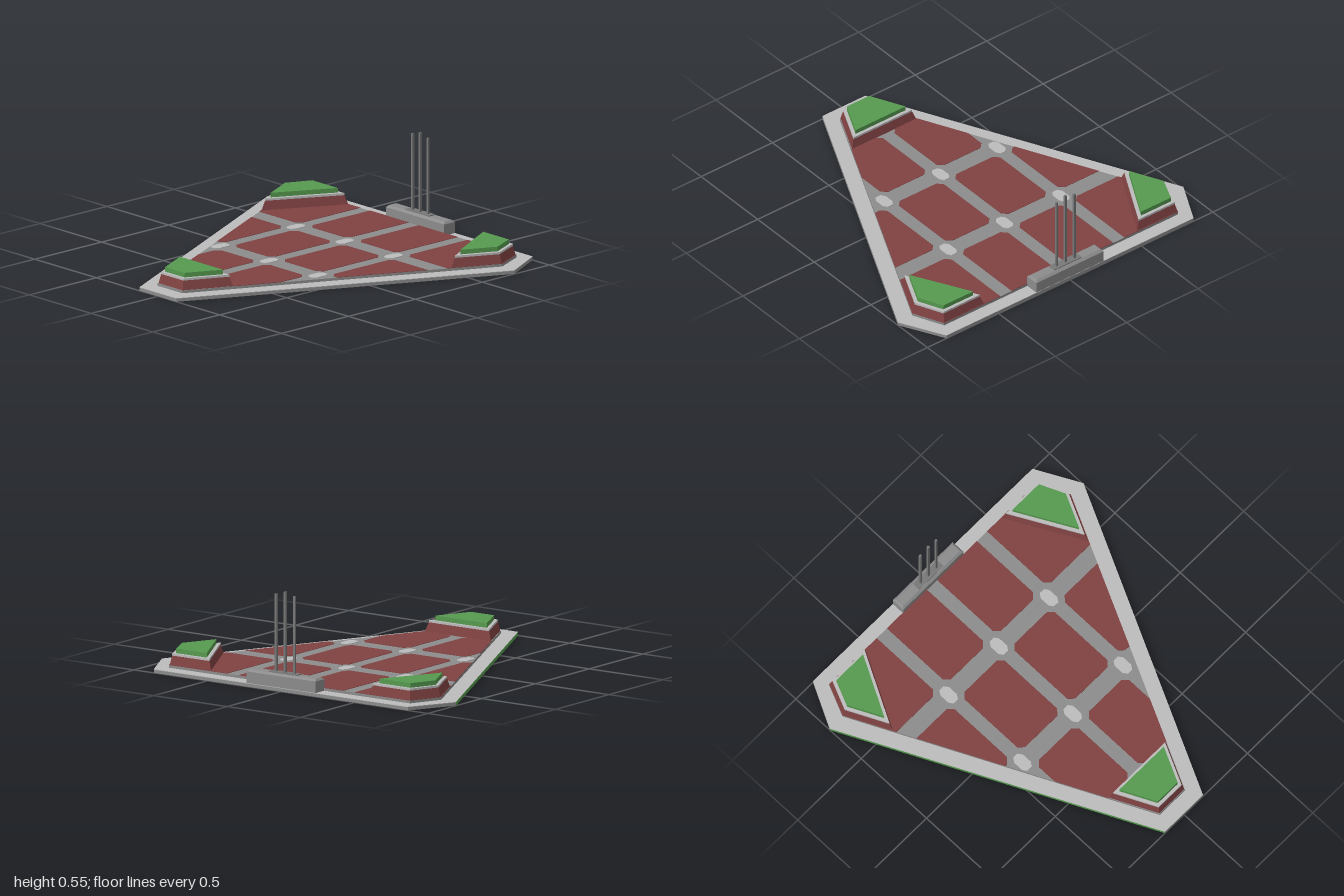
import * as THREE from 'three';

const mat = (name, color) => new THREE.MeshStandardMaterial({ name, color });

// Order a plan outline [x, z] anticlockwise as seen from above
function ccw(pts) {
  let s = 0;
  pts.forEach(([x, z], i) => {
    const [u, v] = pts[(i + 1) % pts.length];
    s += x * v - u * z;
  });
  return s > 0 ? [...pts].reverse() : pts;
}

// Outward unit normal of the edge a-b
function outward(a, b) {
  const dx = b[0] - a[0], dz = b[1] - a[1], l = Math.hypot(dx, dz);
  return [-dz / l, dx / l];
}

// Shrink a convex outline by d on every edge
function inset(pts, d) {
  const p = ccw(pts), n = p.length;
  return p.map((c, i) => {
    const m = outward(p[(i + n - 1) % n], c), k = outward(c, p[(i + 1) % n]);
    const f = d / (1 + m[0] * k[0] + m[1] * k[1]);
    return [c[0] - (m[0] + k[0]) * f, c[1] - (m[1] + k[1]) * f];
  });
}

// Part of a polygon that lies inside a convex outline
function clip(pts, outline) {
  const o = ccw(outline);
  let out = ccw(pts);
  o.forEach((a, i) => {
    const n = outward(a, o[(i + 1) % o.length]);
    const dist = (p) => (p[0] - a[0]) * n[0] + (p[1] - a[1]) * n[1];
    const next = [];
    out.forEach((p, j) => {
      const q = out[(j + 1) % out.length], dp = dist(p), dq = dist(q);
      if (dp <= 0) next.push(p);
      if (dp * dq < 0) {
        const t = dp / (dp - dq);
        next.push([p[0] + (q[0] - p[0]) * t, p[1] + (q[1] - p[1]) * t]);
      }
    });
    out = next;
  });
  return out;
}

// Flat-shaded prism between two plan outlines at heights y0 and y1
function prism(lower, upper, y0, y1) {
  const lo = ccw(lower).map(([x, z]) => [x, y0, z]);
  const up = ccw(upper).map(([x, z]) => [x, y1, z]);
  const n = lo.length, v = [];
  for (let i = 0; i < n; i++) {
    const j = (i + 1) % n;
    v.push(lo[i], lo[j], up[j], lo[i], up[j], up[i]);
    if (i > 0 && i < n - 1) v.push(up[0], up[i], up[j], lo[0], lo[j], lo[i]);
  }
  const g = new THREE.BufferGeometry();
  g.setAttribute('position', new THREE.Float32BufferAttribute(v.flat(), 3));
  g.computeVertexNormals();
  return g;
}

// Rectangle with cut corners
function cutRect(x0, x1, z0, z1, c, cz = c) {
  return [[x0 + c, z0], [x1 - c, z0], [x1, z0 + cz], [x1, z1 - cz],
    [x1 - c, z1], [x0 + c, z1], [x0, z1 - cz], [x0, z0 + cz]];
}

const rect = (x0, x1, z0, z1) => [[x0, z0], [x1, z0], [x1, z1], [x0, z1]];

export function createModel() {
  const model = new THREE.Group();
  const red = mat('brick red', 0x804141);
  const grey = mat('paving grey', 0x8c8c8c);
  const light = mat('light grey', 0xbcbcbc);
  const green = mat('green', 0x569a4f);
  const dark = mat('mast grey', 0x787878);

  const add = (name, geometry, material, parent = model) => {
    const m = new THREE.Mesh(geometry, material);
    m.name = name;
    parent.add(m);
    return m;
  };
  const slab = (name, pts, y0, y1, material, parent) =>
    add(name, prism(pts, pts, y0, y1), material, parent);

  // Base slab with a pale top and one green edge
  const base = [[-0.865, -1], [0.865, -1], [1, -0.74], [0.15, 1], [-0.15, 1], [-1, -0.74]];
  slab('base', base, 0, 0.018, grey);
  slab('border', base, 0.018, 0.021, light);
  slab('greenEdge', [[-1, -0.74], [-0.15, 1], [-0.151, 1.0005], [-1.001, -0.7395]], 0, 0.02, green);

  // Raised paved field
  const field = [[-0.82, -0.92], [0.82, -0.92], [0.9, -0.74], [0.1, 0.91], [-0.1, 0.91], [-0.9, -0.74]];
  slab('paving', field, 0.02, 0.036, grey);

  // Red tiles between the paths
  const columns = [[-1.2, -0.445], [-0.365, -0.05], [0.03, 0.345], [0.425, 1.2]];
  const rows = [[-1.2, -0.46], [-0.355, 0.108], [0.215, 0.645]];
  const tiles = new THREE.Group();
  tiles.name = 'tiles';
  model.add(tiles);
  for (const [x0, x1] of columns) {
    for (const [z0, z1] of rows) {
      const pts = clip(cutRect(x0, x1, z0, z1, 0.03), field);
      if (pts.length > 2) slab('tile', pts, 0.036, 0.038, red, tiles);
    }
  }

  // Pale markers where paths cross
  for (const x of [-0.408, -0.012, 0.383]) {
    for (const z of [-0.405, 0.16]) {
      slab('pathMarker', cutRect(x - 0.034, x + 0.034, z - 0.055, z + 0.055, 0.017, 0.025), 0.036, 0.039, light);
    }
  }

  // Corner platforms: sloped red foot, pale ledge, green cap
  const backPad = [[0.82, -0.92], [0.9, -0.74], [0.77, -0.472], [0.53, -0.92]];
  const pads = {
    leftPlatform: backPad,
    rightPlatform: backPad.map(([x, z]) => [-x, z]),
    frontPlatform: [[-0.231, 0.64], [0.231, 0.64], [0.1, 0.91], [-0.1, 0.91]],
  };
  for (const [name, pts] of Object.entries(pads)) {
    const pad = new THREE.Group();
    pad.name = name;
    model.add(pad);
    const ledge = inset(pts, 0.016), cap = inset(pts, 0.035);
    add('foot', prism(pts, ledge, 0.02, 0.088), red, pad);
    slab('ledge', ledge, 0.088, 0.1, light, pad);
    slab('cap', cap, 0.1, 0.126, green, pad);
  }

  // Mast housing on the back edge
  const body = rect(-0.236, 0.236, -0.999, -0.918);
  const top = rect(-0.225, 0.225, -0.985, -0.932);
  slab('housing', body, 0.018, 0.085, grey);
  add('housingTop', prism(body, top, 0.085, 0.097), grey);
  slab('mastPlate', rect(-0.095, 0.095, -0.982, -0.935), 0.097, 0.102, dark);

  // Three square masts, the middle one tallest
  for (const [x, h] of [[-0.062, 0.535], [0, 0.553], [0.062, 0.535]]) {
    const mast = add('mast', new THREE.BoxGeometry(0.013, h - 0.1, 0.013), dark);
    mast.position.set(x, (h + 0.1) / 2, -0.958);
  }
  return model;
}
